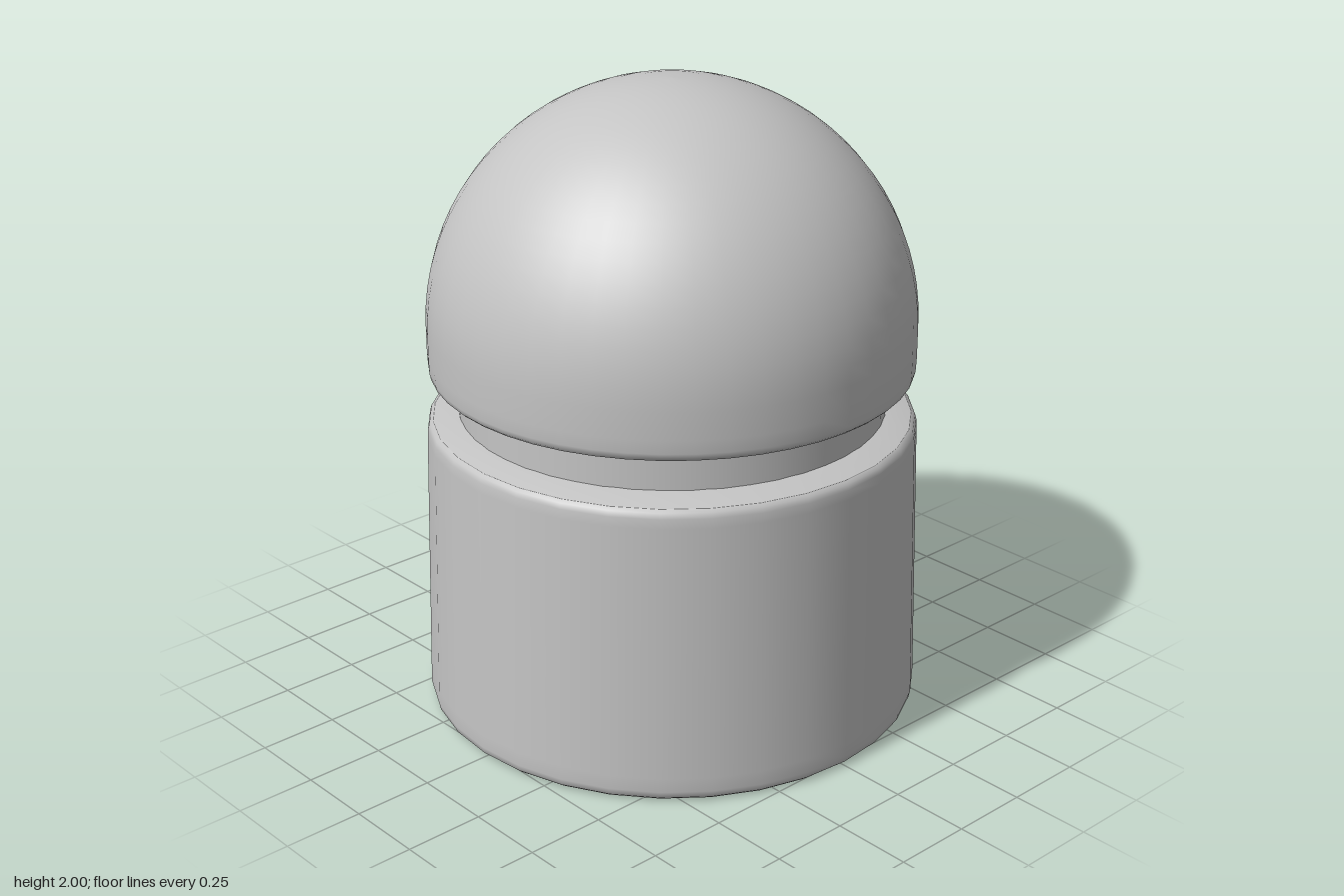
import * as THREE from 'three';

const grey = new THREE.MeshStandardMaterial({ color: 0xc4c4c4 });
grey.name = 'lightGrey';

// Revolves a list of [radius, height] points, listed from bottom to top
function turned(name, profile, sides) {
  const points = profile.map(([r, y]) => new THREE.Vector2(r, y));
  const mesh = new THREE.Mesh(new THREE.LatheGeometry(points, sides), grey);
  mesh.name = name;
  return mesh;
}

export function createModel() {
  const model = new THREE.Group();
  model.name = 'domedCap';

  // Slightly tapered base: flat underside, rounded rims, gently sloping shoulder
  model.add(turned('baseUnderside', [[0, 0], [0.745, 0]], 32));
  model.add(turned('baseBody', [
    [0.745, 0], [0.768, 0.004], [0.78, 0.014], [0.785, 0.035],
    [0.784, 0.08], [0.764, 0.89], [0.762, 0.92], [0.757, 0.937], [0.745, 0.945],
  ], 32));
  model.add(turned('baseShoulder', [[0.745, 0.945], [0.66, 0.968], [0.6, 0.97]], 32));

  // Recessed neck
  model.add(turned('neck', [[0.665, 0.955], [0.665, 1.09]], 48));

  // Dome with a rounded lower lip, a short skirt and a hemispherical top
  const radius = 0.755, centre = 1.245, steps = 20;
  const dome = [
    [0.6, 1.08], [0.665, 1.081], [0.715, 1.085], [0.738, 1.092],
    [0.749, 1.102], [0.753, 1.118], [0.755, 1.16],
  ];
  for (let i = 0; i <= steps; i++) {
    const a = (i / steps) * Math.PI / 2;
    dome.push([i === steps ? 0 : radius * Math.cos(a), centre + radius * Math.sin(a)]);
  }
  model.add(turned('dome', dome, 48));

  return model;
}
